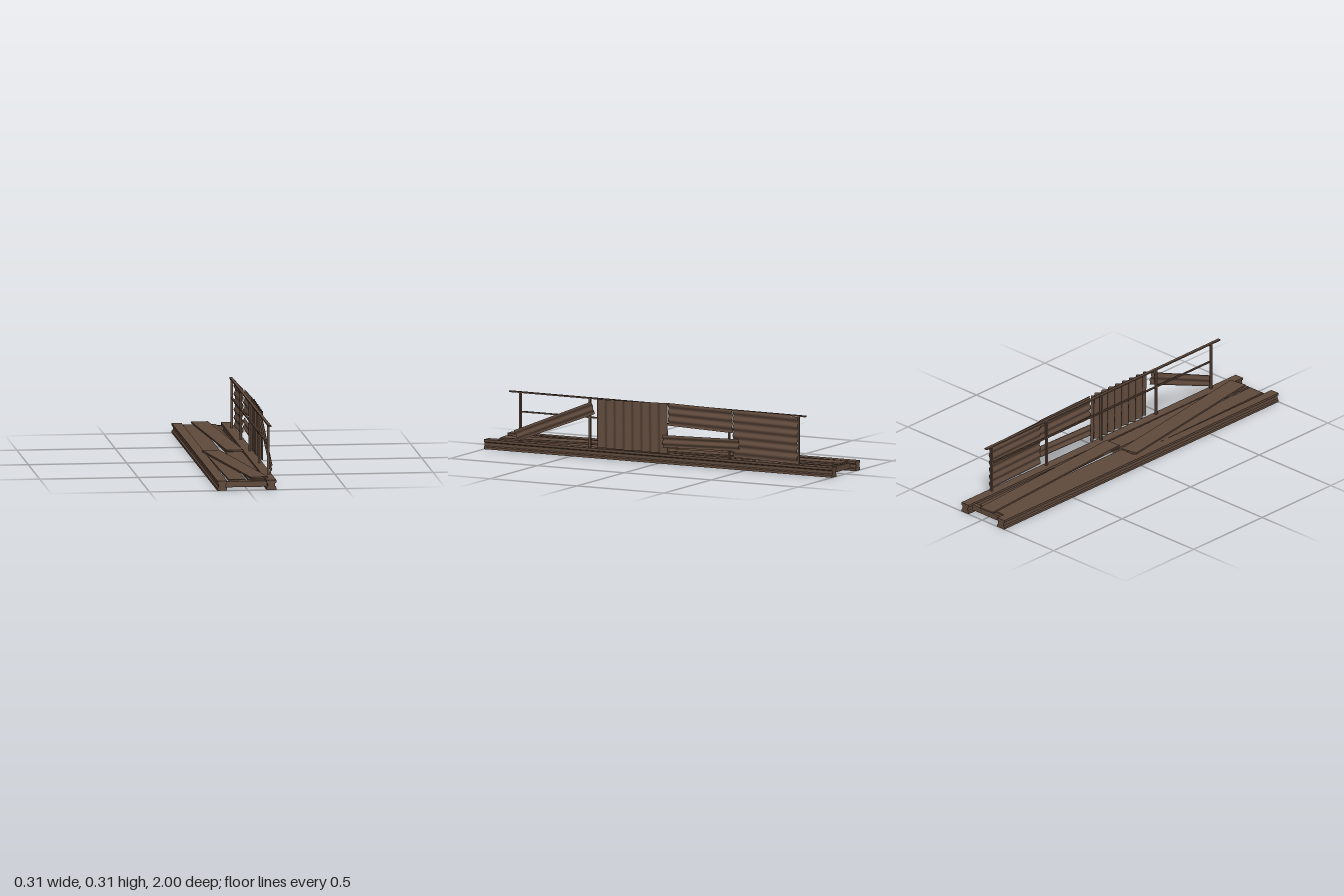
import * as THREE from 'three';

const rust = new THREE.MeshStandardMaterial({ color: 0x604a3c });
rust.name = 'rustyBrown';
const sheetRust = new THREE.MeshStandardMaterial({ color: 0x604a3c, side: THREE.DoubleSide });
sheetRust.name = 'rustySheetBrown';

export function createModel() {
  const model = new THREE.Group();
  const add = (name, geo, mat = rust) => {
    const m = new THREE.Mesh(geo, mat);
    m.name = name;
    model.add(m);
    return m;
  };
  // Box given by its minimum and maximum corners
  const box = (name, a, b) => {
    const m = add(name, new THREE.BoxGeometry(b[0] - a[0], b[1] - a[1], b[2] - a[2]));
    m.position.set((a[0] + b[0]) / 2, (a[1] + b[1]) / 2, (a[2] + b[2]) / 2);
    return m;
  };

  // Two long girders with tapered flanges
  const half = [[0.025, 0], [0.025, 0.012], [0.018, 0.017], [0.018, 0.033], [0.025, 0.038], [0.025, 0.05]];
  const outline = [...half, ...half.slice().reverse().map(([x, y]) => [-x, y])];
  const profile = new THREE.Shape(outline.map(([x, y]) => new THREE.Vector2(x, y)));
  for (const [name, x] of [['rightGirder', -0.13], ['leftGirder', 0.12]]) {
    add(name, new THREE.ExtrudeGeometry(profile, { depth: 2, bevelEnabled: false })).position.set(x, 0, -1);
  }

  // Cross members tying the girders
  for (const z of [-0.955, 0.003, 0.95]) {
    box('crossMember', [-0.114, 0.011, z - 0.011], [0.104, 0.041, z + 0.011]);
  }

  // Loose deck planks: centre line from (x0, z0) to (x1, z1), at two heights
  const plank = (x0, z0, x1, z1, y, w = 0.086) => {
    const m = add('deckPlank', new THREE.BoxGeometry(w, 0.008, Math.hypot(x1 - x0, z1 - z0)));
    m.position.set((x0 + x1) / 2, y, (z0 + z1) / 2);
    m.rotation.y = Math.atan2(x1 - x0, z1 - z0);
  };
  const low = 0.044, high = 0.054;
  plank(-0.06, -0.95, -0.063, -0.005, low);
  plank(0.02, -0.95, 0.05, -0.005, low);
  plank(-0.015, -0.985, 0.05, 0.005, high);
  plank(-0.062, 0.0, -0.047, 0.95, low);
  plank(0.045, 0.0, 0.05, 0.95, low);
  plank(-0.072, -0.005, 0.066, 0.935, high, 0.09);

  // Railing posts and rails along the left side
  for (const z of [-0.8, -0.4, 0, 0.4, 0.8]) {
    box('railingPost', [0.121, 0.045, z - 0.005], [0.132, 0.302, z + 0.005]);
  }
  const topRail = box('topRail', [0.12, 0.298, -0.842], [0.135, 0.305, 0.862]);
  topRail.rotation.x = -0.003;
  box('middleRail', [0.122, 0.201, -0.8], [0.131, 0.208, 0.8]);

  // Corrugated sheet from four [z, y] corners: front top, back top, front bottom, back bottom
  const sheet = (name, c, x, amp, waves, upright) => {
    const n = waves * 8;
    const geo = new THREE.PlaneGeometry(1, 1, upright ? n : 1, upright ? 1 : n);
    const p = geo.attributes.position;
    for (let i = 0; i < p.count; i++) {
      const u = p.getX(i) + 0.5, v = 0.5 - p.getY(i);
      const at = (k) => (1 - v) * ((1 - u) * c[0][k] + u * c[1][k]) + v * ((1 - u) * c[2][k] + u * c[3][k]);
      const wave = amp * Math.sin((upright ? u : v) * waves * Math.PI * 2);
      p.setXYZ(i, x + wave, at(1), at(0));
    }
    geo.computeVertexNormals();
    add(name, geo, sheetRust);
  };
  sheet('uprightSheet', [[0.35, 0.303], [-0.055, 0.312], [0.347, 0.055], [-0.06, 0.054]], 0.146, 0.008, 8, true);
  sheet('upperSheet', [[-0.06, 0.313], [-0.43, 0.306], [-0.06, 0.198], [-0.43, 0.186]], 0.146, 0.004, 3, false);
  sheet('rearSheet', [[-0.43, 0.305], [-0.802, 0.295], [-0.43, 0.063], [-0.8, 0.053]], 0.141, 0.004, 6, false);
  sheet('slantedStrip', [[0.83, 0.108], [0.383, 0.288], [0.805, 0.056], [0.365, 0.225]], 0.141, 0.004, 2, false);
  sheet('lowerStrip', [[-0.03, 0.148], [-0.468, 0.158], [-0.03, 0.085], [-0.47, 0.095]], 0.149, 0.004, 2, false);

  return model;
}
